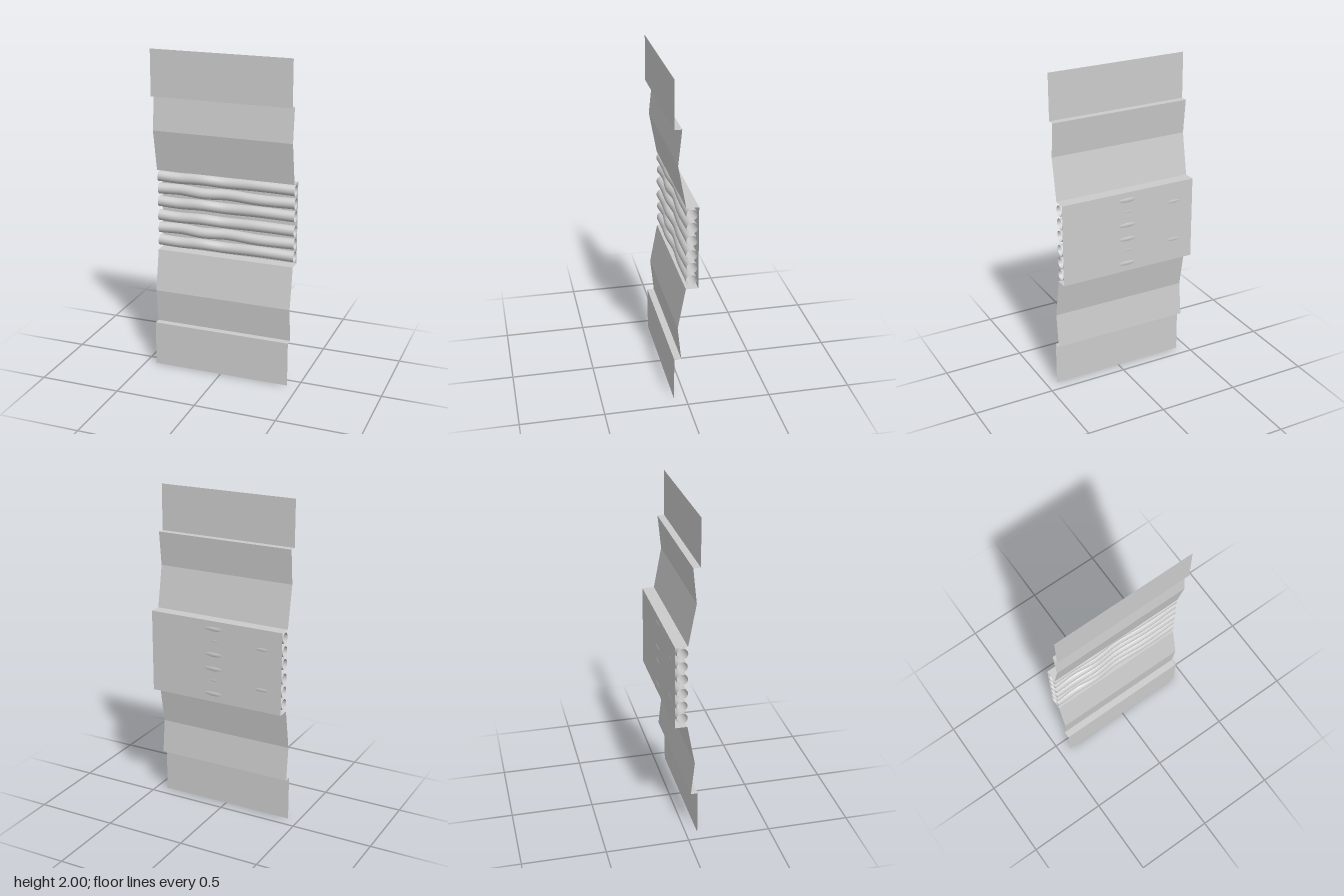
import * as THREE from 'three';

const WIDTH = 0.866;
const material = new THREE.MeshStandardMaterial({ color: 0xcccccc, side: THREE.DoubleSide });

// Folded sheet: a plane whose rows follow a [y, z] profile, with crisp folds
function foldedSheet() {
  const upper = [[2, 0.07], [1.72, 0.07], [1.72, 0.028], [1.51, 0.05], [1.255, 0.003], [1.255, -0.07]];
  const lower = upper.map(([y, z]) => [2 - y, z]).reverse();
  const profile = [...upper, ...lower];
  const plane = new THREE.PlaneGeometry(WIDTH, 1, 1, profile.length - 1);
  const pos = plane.attributes.position;
  for (let i = 0; i < pos.count; i++) {
    const [y, z] = profile[Math.floor(i / 2)];
    pos.setY(i, y);
    pos.setZ(i, z);
  }
  const geometry = plane.toNonIndexed();
  geometry.computeVertexNormals();
  const mesh = new THREE.Mesh(geometry, material);
  mesh.name = 'foldedSheet';
  return mesh;
}

// Open, slightly wavy tube; each [x, dy, dz] bends its centre line
function wavyTube(y, bends) {
  const path = new THREE.CatmullRomCurve3(
    bends.map(([x, dy, dz]) => new THREE.Vector3(x, y + dy, -0.03 + dz))
  );
  const mesh = new THREE.Mesh(new THREE.TubeGeometry(path, 64, 0.033, 24, false), material);
  mesh.name = 'wavyTube';
  return mesh;
}

export function createModel() {
  const model = new THREE.Group();
  model.name = 'foldedPanel';
  model.add(foldedSheet());

  const half = WIDTH / 2;
  const outerBends = [
    [-half, 0.002, 0.002], [-0.3, -0.004, -0.003], [-0.15, 0.004, 0.004],
    [0, -0.004, -0.01], [0.2, 0.004, 0.002], [half, 0.001, 0],
  ];
  const middleBends = [
    [-half, 0.001, 0], [-0.3, 0.003, -0.009], [-0.15, -0.002, 0.003],
    [0, 0.003, -0.008], [0.2, -0.002, 0.003], [half, 0, -0.002],
  ];

  // Two banks of three tubes in the central recess
  const tubes = new THREE.Group();
  tubes.name = 'tubes';
  for (const bankY of [0.88, 1.13]) {
    for (const row of [-1, 0, 1]) {
      tubes.add(wavyTube(bankY + row * 0.08, row === 0 ? middleBends : outerBends));
    }
  }
  model.add(tubes);
  return model;
}
